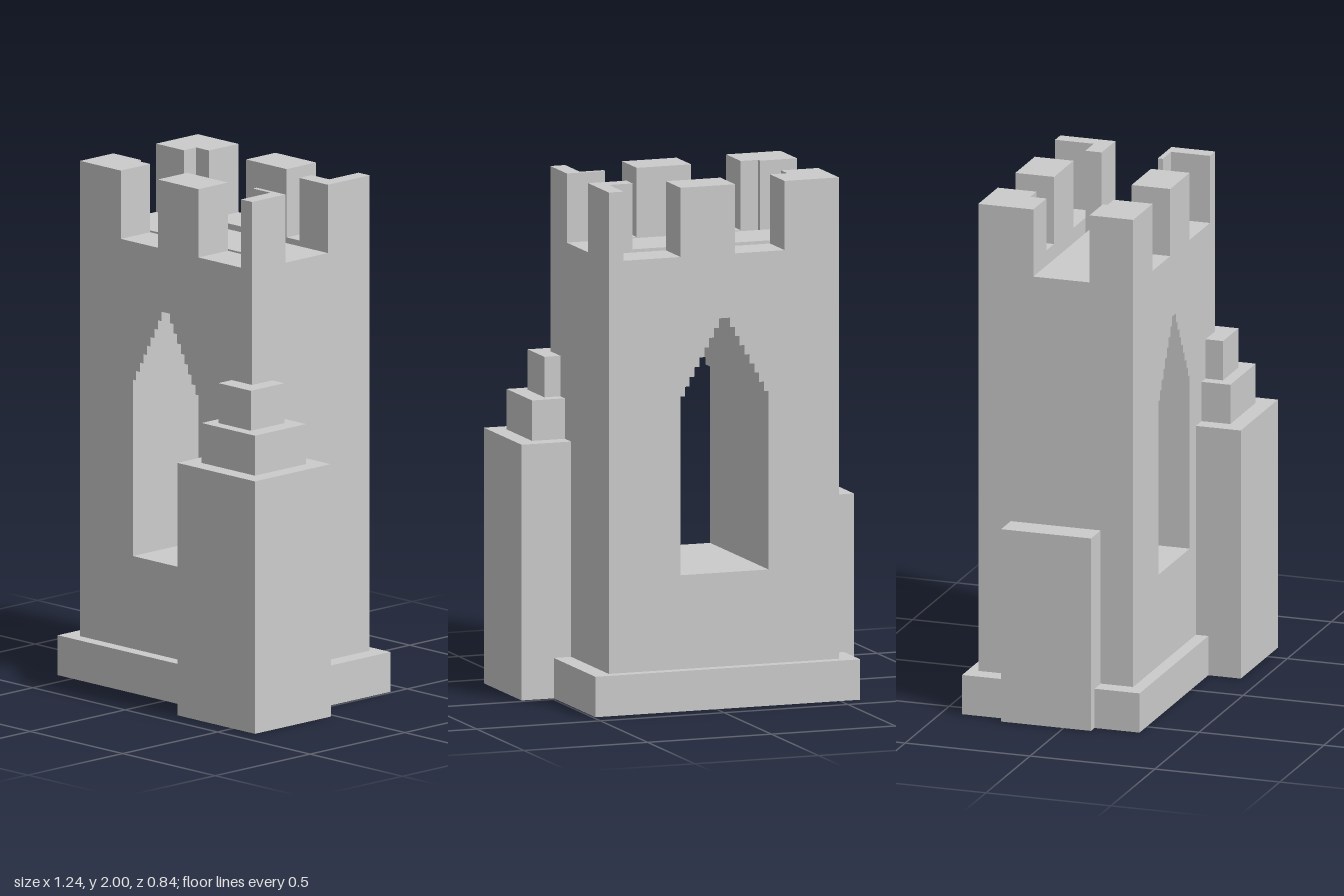
import * as THREE from 'three';

const material = new THREE.MeshStandardMaterial({ color: 0xcccccc, flatShading: true });

function add(parent, name, geometry) {
  const mesh = new THREE.Mesh(geometry, material);
  mesh.name = name;
  parent.add(mesh);
  return mesh;
}

// Box given by its limits on each axis
function block(parent, name, [x0, x1], [y0, y1], [z0, z1]) {
  const g = new THREE.BoxGeometry(x1 - x0, y1 - y0, z1 - z0);
  g.translate((x0 + x1) / 2, (y0 + y1) / 2, (z0 + z1) / 2);
  return add(parent, name, g);
}

// Outline in x and z, raised from y0 to y1
function raised(parent, name, points, y0, y1) {
  const shape = new THREE.Shape(points.map(([x, z]) => new THREE.Vector2(x, -z)));
  const g = new THREE.ExtrudeGeometry(shape, { depth: y1 - y0, bevelEnabled: false });
  g.rotateX(-Math.PI / 2).translate(0, y0, 0);
  return add(parent, name, g);
}

const rect = (x0, x1, y0, y1) => [[x0, y0], [x1, y0], [x1, y1], [x0, y1]].map(p => new THREE.Vector2(...p));

export function createModel() {
  const model = new THREE.Group();
  model.name = 'ruinedTower';

  // Outer and inner faces of the tower walls
  const X0 = -0.51, X1 = 0.42, Z0 = -0.38, Z1 = 0.24;
  const x0 = -0.36, x1 = 0.265, z0 = -0.225, z1 = 0.085;
  const roof = 1.65, wallTop = 1.735, top = 2;
  const gap = [-0.16, 0.065];

  block(model, 'plinth', [-0.58, 0.49], [0, 0.155], [-0.42, 0.29]);

  // Tower body with a stepped pointed arch running through it
  const middle = -0.047, steps = 8, spring = 1.2, rise = 0.29;
  const side = [[0.178, 0.515], [0.178, spring]];
  for (let i = 0; i < steps; i++) {
    const half = 0.16 - 0.0197 * i;
    side.push([half, spring + rise * i / steps], [half, spring + rise * (i + 1) / steps]);
  }
  const outline = [
    ...side.map(([h, y]) => new THREE.Vector2(middle + h, y)),
    ...side.slice().reverse().map(([h, y]) => new THREE.Vector2(middle - h, y)),
  ];
  const body = new THREE.Shape(rect(X0, X1, 0.1, roof));
  body.holes.push(new THREE.Path(outline));
  const bodyGeometry = new THREE.ExtrudeGeometry(body, { depth: Z1 - Z0, bevelEnabled: false });
  add(model, 'towerBody', bodyGeometry.translate(0, 0, Z0));

  // Low parapet with a walkway crossing the sunken roof
  const ring = new THREE.Shape(rect(X0, X1, -Z1, -Z0));
  for (const [a, b] of [[z0, gap[0]], [gap[1], z1]]) {
    ring.holes.push(new THREE.Path(rect(x0, x1, -b, -a)));
  }
  const ringGeometry = new THREE.ExtrudeGeometry(ring, { depth: wallTop - roof, bevelEnabled: false });
  add(model, 'parapet', ringGeometry.rotateX(-Math.PI / 2).translate(0, roof, 0));

  // Merlons: one in the middle and L-shaped corners on front and back
  const merlons = new THREE.Group();
  merlons.name = 'merlons';
  model.add(merlons);
  for (const [label, outer, inner, end] of [['front', Z1, z1, gap[1]], ['back', Z0, z0, gap[0]]]) {
    const zs = [Math.min(outer, inner), Math.max(outer, inner)];
    block(merlons, label + 'MiddleMerlon', [-0.09, 0.13], [wallTop, top], zs);
    raised(merlons, label + 'RightCornerMerlon',
      [[X0, outer], [-0.29, outer], [-0.29, inner], [x0, inner], [x0, end], [X0, end]], wallTop, top);
    raised(merlons, label + 'LeftCornerMerlon',
      [[X1, outer], [0.36, outer], [0.36, inner], [x1, inner], [x1, end], [X1, end]], wallTop, top);
  }

  // Stepped turret at the front left corner
  const turret = new THREE.Group();
  turret.name = 'cornerTurret';
  model.add(turret);
  block(turret, 'turretBase', [0.2, 0.62], [0, 0.98], [0.02, 0.42]);
  block(turret, 'turretMiddle', [0.265, 0.553], [0.98, 1.135], [0.085, 0.355]);
  block(turret, 'turretCap', [0.31, 0.485], [1.135, 1.29], [0.133, 0.31]);

  // Slab against the right side
  block(model, 'sideButtress', [-0.62, -0.51], [0, 0.76], [-0.25, 0.11]);

  return model;
}
